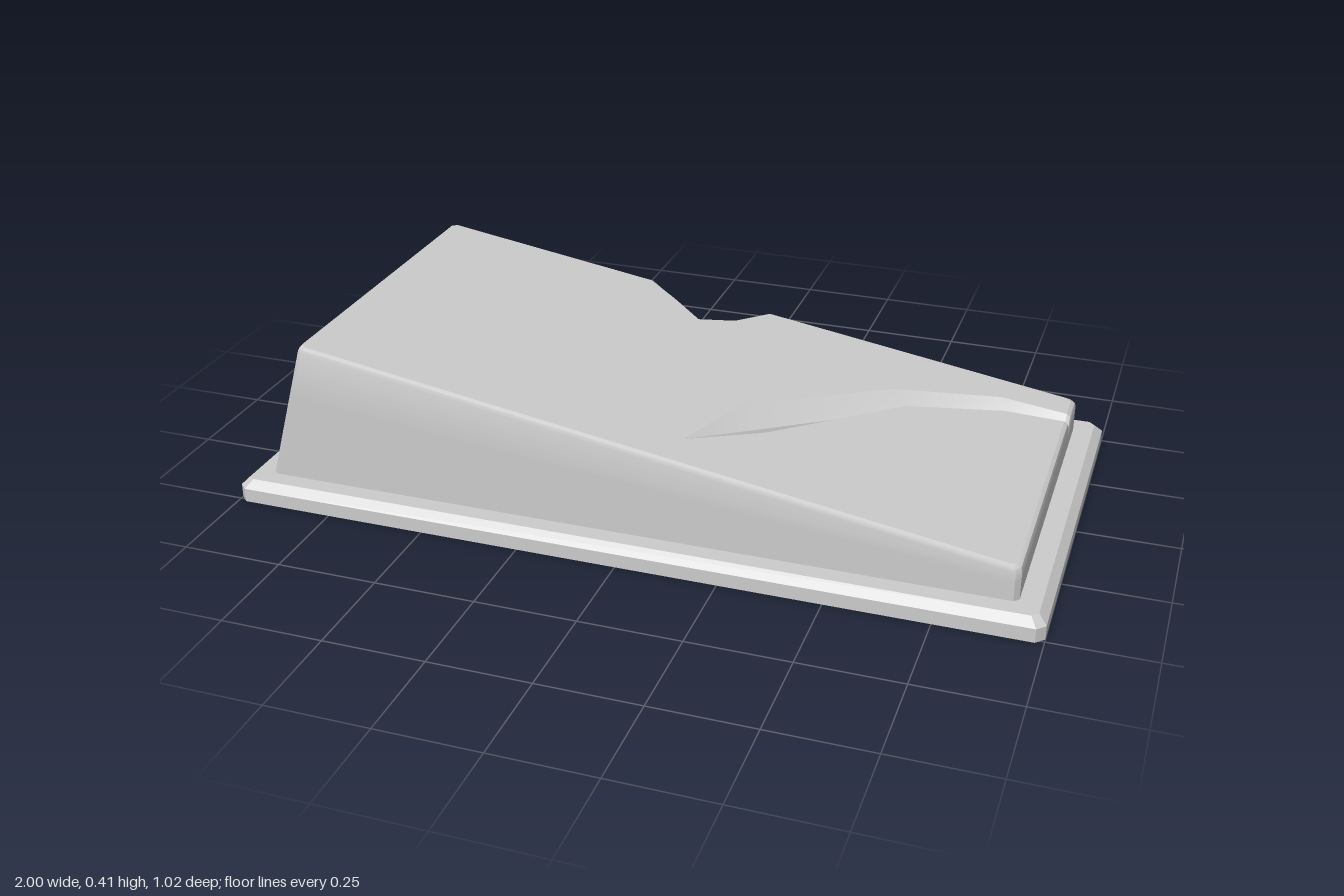
import * as THREE from 'three';
import { toCreasedNormals } from 'three/addons/utils/BufferGeometryUtils.js';

const material = new THREE.MeshStandardMaterial({ color: 0xcccccc, side: THREE.DoubleSide });
const V = (x, y, z) => new THREE.Vector3(x, y, z);

// Height of the sloping top
const topY = (x) => 0.415 - 0.157 * (x + 0.83);

// Broken notch in the back edge, plan points from right to left
const rimNotch = [[0.02, -0.51], [-0.03, -0.44], [-0.1, -0.4], [-0.19, -0.45], [-0.245, -0.51]];
const lowNotch = [[0.02, -0.445], [-0.04, -0.425], [-0.1, -0.395], [-0.15, -0.42], [-0.19, -0.445]];
const topNotch = [[0.1, -0.445], [0.03, -0.335], [-0.055, -0.285], [-0.15, -0.365], [-0.24, -0.445]];

// Crack across the top, plan points from its tip to the right side
const crackFront = [[0.11, 0.33], [0.27, 0.19], [0.54, -0.14], [0.77, -0.265]];
const crackFloor = [[0.11, 0.33, 0], [0.22, 0.15, 0.03], [0.51, -0.17, 0.04], [0.77, -0.3, 0.04]];
const crackBack = [[0.11, 0.33], [0.18, 0.09], [0.49, -0.21], [0.75, -0.335]];

function mixNotch(t, hz) {
  return lowNotch.map(([x, z], i) => [
    x + (topNotch[i][0] - x) * t,
    i % 4 === 0 ? -hz : z + (topNotch[i][1] - z) * t,
  ]);
}

// One outline of the shell: chamfered rectangle with crack points and notch
function ring(x0, x1, hz, c, notch, height) {
  return [
    [x0 + c, hz], [x1 - c, hz], [x1, hz - c],
    [x1, -0.3], [x1, -0.32], [x1, -0.345],
    [x1, c - hz], [x1 - c, -hz], ...notch,
    [x0 + c, -hz], [x0, c - hz], [x0, hz - c],
  ].map(([x, z], i) => V(x, height(x, i), z));
}

// Triangles between two rows of points
function strip(low, high, from, to, out = []) {
  for (let i = from; i < to; i++) {
    const j = (i + 1) % low.length;
    for (const tri of [[low[i], low[j], high[j]], [low[i], high[j], high[i]]]) {
      if (new THREE.Triangle(...tri).getArea() > 1e-8) out.push(...tri);
    }
  }
  return out;
}

function addMesh(group, name, points, crease) {
  let geometry = new THREE.BufferGeometry().setFromPoints(points);
  geometry.computeVertexNormals();
  if (crease) geometry = toCreasedNormals(geometry, crease);
  const mesh = new THREE.Mesh(geometry, material);
  mesh.name = name;
  group.add(mesh);
}

export function createModel() {
  const group = new THREE.Group();
  group.name = 'brokenWedge';

  // Rim: upright edge, bevel and flat ledge
  const bevelNotch = rimNotch.map(([x, z], i) =>
    i === 0 ? [0.01, -0.49] : i === 4 ? [-0.225, -0.49] : [x, z]);
  const foot = ring(-0.935, 0.93, 0.445, 0.012, mixNotch(0, 0.445), () => 0.055);
  const rim = [
    ring(-1, 1, 0.51, 0.02, rimNotch, () => 0),
    ring(-1, 1, 0.51, 0.02, rimNotch, () => 0.035),
    ring(-0.98, 0.98, 0.49, 0.015, bevelNotch, () => 0.055),
    foot,
  ];
  const rimPoints = [];
  for (let i = 0; i < 3; i++) strip(rim[i], rim[i + 1], 0, 16, rimPoints);
  addMesh(group, 'rim', rimPoints);

  // Body walls, with a softened upper edge dipping where the crack exits
  const dip = (i) => (i === 4 ? 0.03 : 0);
  const shoulder = ring(-0.835, 0.93, 0.445, 0.012, mixNotch(0.88, 0.445), (x, i) => topY(x) - 0.014 - dip(i));
  const soft = ring(-0.831, 0.927, 0.442, 0.012, mixNotch(0.94, 0.442), (x, i) => topY(x) - 0.005 - dip(i));
  const edge = ring(-0.828, 0.918, 0.433, 0.012, mixNotch(1, 0.433), (x, i) => topY(x) - dip(i));
  const middle = foot.map((p, i) => p.clone().lerp(shoulder[i], 0.65));
  mixNotch(0.35, 0.445).forEach(([x, z], i) => {
    middle[8 + i].set(x, 0.055 + 0.65 * (topY(x) - 0.069), z);
  });
  const levels = [foot, middle, shoulder, soft, edge];
  const wallPoints = [], notchPoints = [];
  for (let i = 0; i < 4; i++) {
    strip(levels[i], levels[i + 1], 0, 8, wallPoints);
    strip(levels[i], levels[i + 1], 12, 16, wallPoints);
    strip(levels[i], levels[i + 1], 8, 12, notchPoints);
  }
  addMesh(group, 'walls', wallPoints, 0.6);
  addMesh(group, 'notchWall', notchPoints, 1.2);

  // Sloping top, cut out along both lips of the crack
  const onTop = ([x, z, depth = 0]) => V(x, topY(x) - depth, z);
  const front = [...crackFront.map(onTop), edge[3]];
  const floor = [...crackFloor.map(onTop), edge[4]];
  const back = [...crackBack.map(onTop), edge[5]];
  const outline = [
    ...edge.slice(0, 3), ...front.slice().reverse(), ...back.slice(1), ...edge.slice(6),
  ];
  const faces = THREE.ShapeUtils.triangulateShape(outline.map((p) => new THREE.Vector2(p.x, -p.z)), []);
  addMesh(group, 'slopingTop', faces.flat().map((i) => outline[i]));

  // V-shaped crack
  addMesh(group, 'crack', [...strip(front, floor, 0, 4), ...strip(floor, back, 0, 4)], 0.4);

  return group;
}
